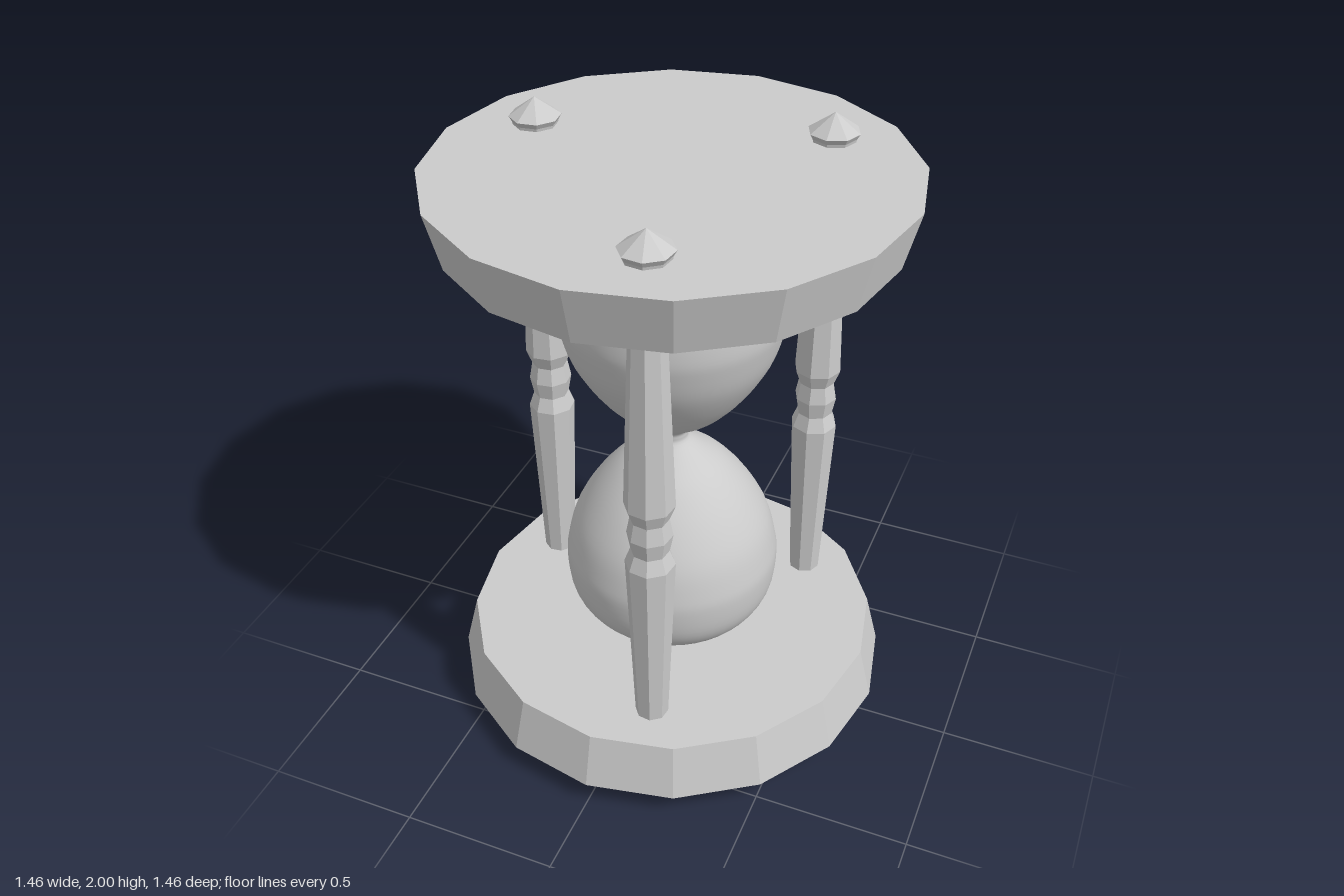
import * as THREE from 'three';

const V = (r, y) => new THREE.Vector2(r, y);
const smooth = new THREE.MeshStandardMaterial({ color: 0xcccccc });
const faceted = new THREE.MeshStandardMaterial({ color: 0xcccccc, flatShading: true });

// Takes the upper half of a profile, from y = 1 upwards, and mirrors it about y = 1
function mirrored(upper) {
  const lower = upper.slice(1).reverse().map((p) => V(p.x, 2 - p.y));
  return [...lower, ...upper];
}

function addMesh(parent, name, geometry, material) {
  const mesh = new THREE.Mesh(geometry, material);
  mesh.name = name;
  parent.add(mesh);
  return mesh;
}

export function createModel() {
  const model = new THREE.Group();
  model.name = 'hourglass';

  // Sixteen-sided end plates, wider on their outer faces
  addMesh(model, 'bottomPlate', new THREE.CylinderGeometry(0.685, 0.73, 0.18, 16), faceted).position.y = 0.174;
  addMesh(model, 'topPlate', new THREE.CylinderGeometry(0.73, 0.685, 0.18, 16), faceted).position.y = 1.826;

  // Smooth glass: two bulbs joined by a narrow neck
  const bulb = new THREE.SplineCurve([
    V(0.052, 1), V(0.058, 1.022), V(0.11, 1.065), V(0.18, 1.12), V(0.255, 1.21),
    V(0.318, 1.32), V(0.347, 1.42), V(0.355, 1.49), V(0.343, 1.59), V(0.3, 1.665),
    V(0.23, 1.715), V(0.14, 1.738), V(0, 1.742),
  ]).getPoints(48);
  bulb[bulb.length - 1].x = 0;
  addMesh(model, 'glass', new THREE.LatheGeometry(mirrored(bulb), 48), smooth);

  // Octagonal turned posts with a small bead at mid height
  const postGeometry = new THREE.LatheGeometry(mirrored([
    V(0.07, 1), V(0.059, 1.06), V(0.077, 1.11), V(0.052, 1.76),
  ]), 8);

  // Pointed stud, with its tip at the end of the post
  const studGeometry = new THREE.LatheGeometry([
    V(0.066, 1.9), V(0.07, 1.925), V(0.08, 1.942), V(0, 2),
  ], 8);

  for (let i = 0; i < 3; i++) {
    const angle = Math.PI / 4 + (i * Math.PI * 2) / 3;
    const post = new THREE.Group();
    post.name = `post${i + 1}`;
    post.position.set(0.517 * Math.cos(angle), 0, -0.517 * Math.sin(angle));
    post.rotation.y = angle;
    addMesh(post, 'postShaft', postGeometry, faceted);
    addMesh(post, 'topStud', studGeometry, faceted);
    const bottomStud = addMesh(post, 'bottomStud', studGeometry, faceted);
    bottomStud.rotation.x = Math.PI;
    bottomStud.position.y = 2;
    model.add(post);
  }

  return model;
}
